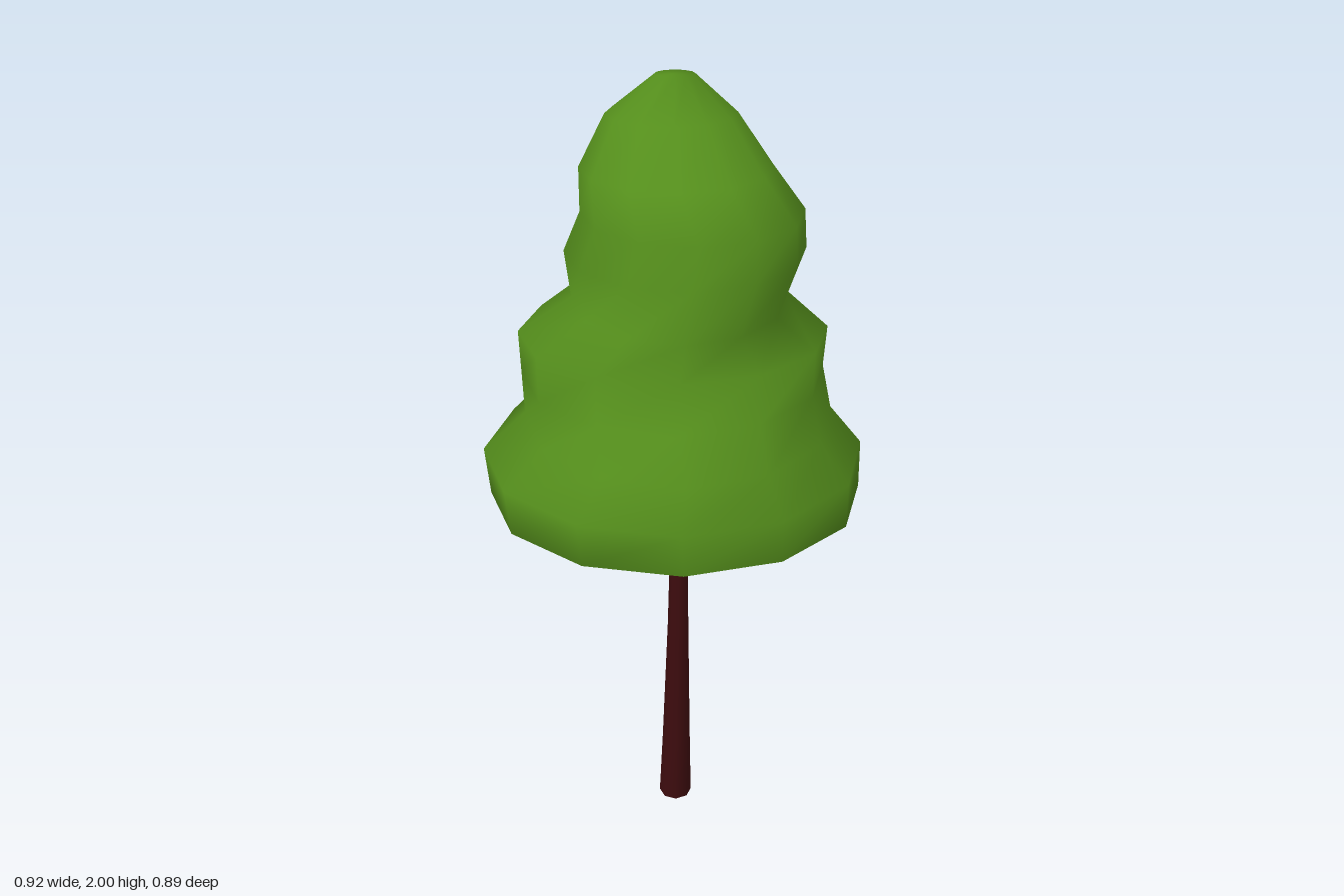
import * as THREE from 'three';

// Skin closed rings of points (ordered bottom to top) into one smooth surface
function loft(rings, color, name) {
  const n = rings[0].length, index = [];
  for (let i = 0; i < rings.length - 1; i++) {
    for (let j = 0; j < n; j++) {
      const a = i * n + j, b = i * n + (j + 1) % n;
      index.push(a, a + n, b, b, a + n, b + n);
    }
  }
  const geometry = new THREE.BufferGeometry();
  geometry.setAttribute('position', new THREE.Float32BufferAttribute(rings.flat(2), 3));
  geometry.setIndex(index);
  geometry.computeVertexNormals();
  const material = new THREE.MeshStandardMaterial({ color, side: THREE.DoubleSide });
  const mesh = new THREE.Mesh(geometry, material);
  mesh.name = name;
  return mesh;
}

// Horizontal elliptical ring given by its extents
function ring(n, y, x0, x1, z0, z1) {
  return Array.from({ length: n }, (_, k) => {
    const a = (k / n) * Math.PI * 2;
    return [
      (x0 + x1) / 2 + Math.cos(a) * (x1 - x0) / 2,
      y,
      (z0 + z1) / 2 + Math.sin(a) * (z1 - z0) / 2,
    ];
  });
}

export function createModel() {
  const tree = new THREE.Group();
  tree.name = 'tree';

  // Ragged opening under the crown: inner rim, then the drooping lower skirt
  const openingRim = [
    [0.09, 0.915, 0.04], [0.15, 0.96, 0.2], [0.2, 1.0, 0.35], [-0.03, 1.01, 0.41],
    [-0.21, 1.0, 0.34], [-0.3, 0.915, 0.06], [-0.28, 0.915, 0.02], [-0.2, 0.915, -0.08],
    [-0.13, 0.915, -0.12], [-0.05, 0.915, -0.16], [0.05, 0.915, -0.1], [0.1, 0.915, -0.02],
  ];
  const skirt = [
    [0.27, 0.96, 0.02], [0.27, 0.985, 0.2], [0.21, 1.0, 0.38], [-0.02, 1.01, 0.43],
    [-0.22, 1.0, 0.37], [-0.37, 0.915, 0.06], [-0.385, 0.915, 0], [-0.3, 0.915, -0.17],
    [-0.16, 0.915, -0.27], [0, 0.915, -0.295], [0.165, 0.915, -0.285], [0.31, 0.962, -0.14],
  ];

  // Tiered crown: y, then x and z extents of each ring
  const tiers = [
    [1.01, -0.445, 0.455, -0.37, 0.445],
    [1.11, -0.46, 0.46, -0.447, 0.445],
    [1.21, -0.355, 0.38, -0.4, 0.41],
    [1.31, -0.36, 0.36, -0.39, 0.355],
    [1.4, -0.365, 0.37, -0.365, 0.285],
    [1.5, -0.235, 0.26, -0.305, 0.305],
    [1.6, -0.25, 0.31, -0.32, 0.255],
    [1.7, -0.21, 0.3, -0.27, 0.255],
    [1.8, -0.21, 0.225, -0.23, 0.2],
    [1.9, -0.15, 0.15, -0.22, 0.05],
    [2, -0.04, 0.05, -0.06, 0.015],
    [2, 0, 0, -0.02, -0.02],
  ].map((t) => ring(12, ...t));
  tree.add(loft([openingRim, skirt, ...tiers], 0x558f1c, 'foliage'));

  // Slightly bent, tapering trunk
  const trunk = [
    [0, -0.035, 0.052, -0.087, 0.002],
    [0.2, -0.026, 0.048, -0.078, 0],
    [0.57, -0.012, 0.042, -0.058, -0.008],
    [0.92, -0.003, 0.038, -0.055, -0.015],
    [1.15, 0.003, 0.035, -0.05, -0.018],
  ].map((t) => ring(8, ...t));
  tree.add(loft(trunk, 0x3d0c0e, 'trunk'));

  // Flat end under the trunk
  tree.add(loft([ring(8, 0, 0.008, 0.008, -0.043, -0.043), trunk[0]], 0x3d0c0e, 'trunkBase'));

  return tree;
}
